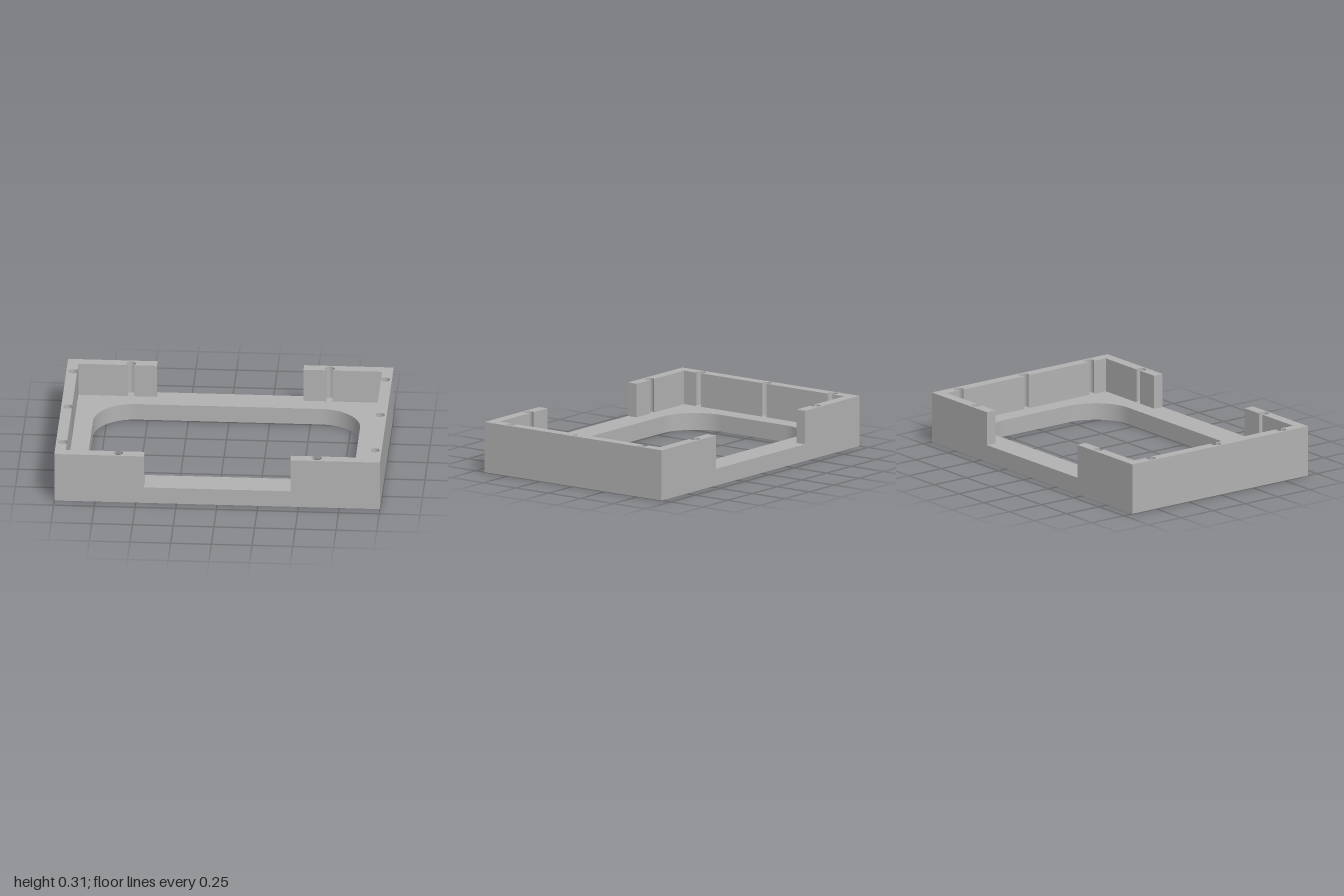
import * as THREE from 'three';

const W = 1, D = 0.683;              // outer half sizes
const BASE = 0.105, TOP = 0.315;     // base and wall heights
const IX = 0.933, IZ = 0.617;        // inner wall faces
const SOCKET = 0.08;                 // depth of the round sockets underneath

// Extrude a plan outline upwards from y0 to y1
function slab(shape, y0, y1) {
  const g = new THREE.ExtrudeGeometry(shape, { depth: y1 - y0, bevelEnabled: false, curveSegments: 24 });
  g.rotateX(-Math.PI / 2);
  g.translate(0, y0, 0);
  return g;
}

// Rectangular frame with a large rounded opening
function frameShape() {
  const s = new THREE.Shape();
  s.moveTo(-W, -D).lineTo(W, -D).lineTo(W, D).lineTo(-W, D).closePath();
  const x = 0.82, z = 0.505, r = 0.255;
  const o = new THREE.Path();
  o.moveTo(x, -z + r);
  o.lineTo(x, z - r);
  o.absarc(x - r, z - r, r, 0, Math.PI / 2);
  o.absarc(-x + r, z - r, r, Math.PI / 2, Math.PI);
  o.absarc(-x + r, -z + r, r, Math.PI, Math.PI * 1.5);
  o.absarc(x - r, -z + r, r, Math.PI * 1.5, Math.PI * 2);
  s.holes.push(o);
  return s;
}

// Keyhole groove cut into a wall face at (px, py), walking along (dx, dy)
function groove(shape, px, py, dx, dy) {
  const r = 0.03, inset = 0.024, n = 24;
  const beta = Math.acos(inset / r);
  const start = -Math.PI / 2 - beta, sweep = 2 * Math.PI - 2 * beta;
  for (let i = 0; i <= n; i++) {
    const t = start - (sweep * i) / n;
    const a = r * Math.cos(t), b = inset + r * Math.sin(t);
    shape.lineTo(px + dx * a - dy * b, py + dy * a + dx * b);
  }
}

// C-shaped end wall with five grooves on its inner faces
function wallShape() {
  const s = new THREE.Shape();
  s.moveTo(0.45, -D).lineTo(W, -D).lineTo(W, D).lineTo(0.45, D).lineTo(0.45, IZ);
  groove(s, 0.61, IZ, 1, 0);
  s.lineTo(IX, IZ);
  for (const z of [0.507, 0, -0.507]) groove(s, IX, z, 0, -1);
  s.lineTo(IX, -IZ);
  groove(s, 0.61, -IZ, -1, 0);
  s.lineTo(0.45, -IZ).closePath();
  return s;
}

export function createModel() {
  const model = new THREE.Group();
  model.name = 'trayFrame';
  const grey = new THREE.MeshStandardMaterial({ color: 0xb2b2b2 });
  grey.name = 'grey';

  const add = (name, geometry) => {
    const mesh = new THREE.Mesh(geometry, grey);
    mesh.name = name;
    model.add(mesh);
    return mesh;
  };

  // Underside layer with eight round sockets
  const lower = frameShape();
  for (const sx of [-1, 1]) for (const sz of [-1, 1]) {
    for (const [x, z] of [[0.936, 0.338], [0.34, 0.621]]) {
      const hole = new THREE.Path();
      hole.absarc(sx * x, sz * z, 0.045, 0, Math.PI * 2, true);
      lower.holes.push(hole);
    }
  }
  add('baseWithSockets', slab(lower, 0, SOCKET));

  // Solid layer closing the sockets
  add('baseTop', slab(frameShape(), SOCKET, BASE));

  // End walls
  const wall = slab(wallShape(), BASE, TOP);
  add('leftWall', wall);
  add('rightWall', wall).rotation.y = Math.PI;

  return model;
}
